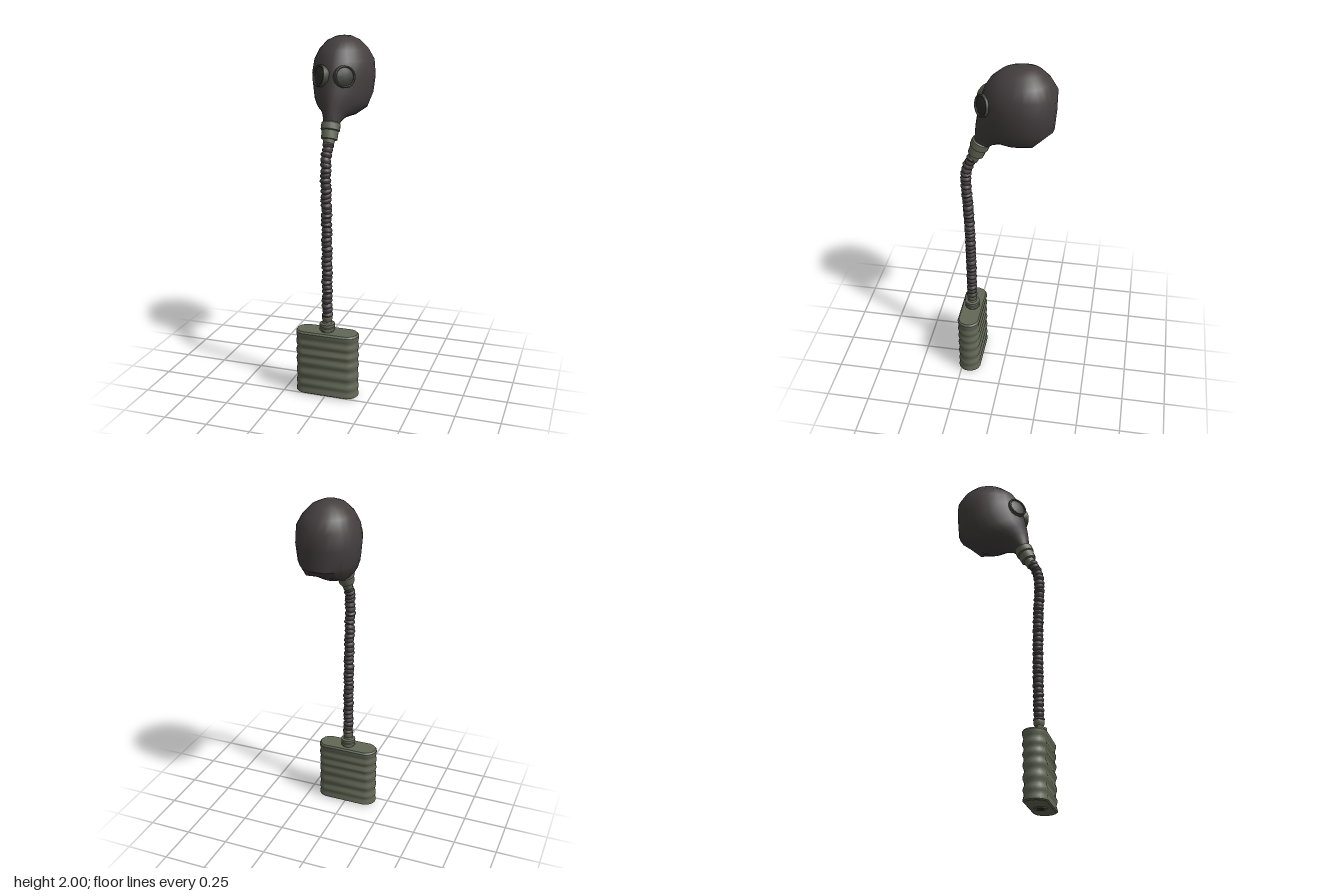
import * as THREE from 'three';
import { toCreasedNormals } from 'three/addons/utils/BufferGeometryUtils.js';

const rubber = new THREE.MeshStandardMaterial({ color: 0x443e3f });
rubber.name = 'darkRubber';
const olive = new THREE.MeshStandardMaterial({ color: 0x636756 });
olive.name = 'oliveMetal';
const rimMetal = new THREE.MeshStandardMaterial({ color: 0x474a3e });
rimMetal.name = 'darkOliveRim';
const glass = new THREE.MeshStandardMaterial({ color: 0x2d2d2c });
glass.name = 'darkGlass';

// Skin a list of rings (lowest first, each turning from +x to +z) and cap both ends
function loft(rings, crease) {
  const n = rings[0].length, pos = [], idx = [];
  rings.forEach(r => r.forEach(p => pos.push(p.x, p.y, p.z)));
  for (let i = 0; i < rings.length - 1; i++) {
    for (let j = 0; j < n; j++) {
      const a = i * n + j, b = i * n + (j + 1) % n;
      idx.push(a, a + n, b, b, a + n, b + n);
    }
  }
  [0, rings.length - 1].forEach(i => {
    const c = new THREE.Vector3();
    rings[i].forEach(p => c.addScaledVector(p, 1 / n));
    const k = pos.length / 3;
    pos.push(c.x, c.y, c.z);
    for (let j = 0; j < n; j++) {
      const a = i * n + j, b = i * n + (j + 1) % n;
      if (i === 0) idx.push(k, a, b); else idx.push(k, b, a);
    }
  });
  const g = new THREE.BufferGeometry();
  g.setAttribute('position', new THREE.Float32BufferAttribute(pos, 3));
  g.setIndex(idx);
  g.computeVertexNormals();
  return toCreasedNormals(g, crease);
}

function lathe(profile, sides) {
  const pts = profile.map(([r, y]) => new THREE.Vector2(r, y));
  return toCreasedNormals(new THREE.LatheGeometry(pts, sides), 0.6);
}

function add(parent, name, geometry, material) {
  const m = new THREE.Mesh(geometry, material);
  m.name = name;
  parent.add(m);
  return m;
}

// Hood sections from snout to crown: front z, y, back z, y, half width, widest point
const hoodSections = [
  [0.165, 1.565, 0.09, 1.525, 0.043, 0.5],
  [0.162, 1.61, 0.06, 1.543, 0.05, 0.5],
  [0.158, 1.65, 0.0, 1.56, 0.07, 0.45],
  [0.152, 1.69, -0.09, 1.56, 0.112, 0.42],
  [0.145, 1.73, -0.2, 1.58, 0.145, 0.42],
  [0.135, 1.77, -0.26, 1.66, 0.163, 0.42],
  [0.125, 1.82, -0.268, 1.77, 0.173, 0.42],
  [0.108, 1.875, -0.27, 1.87, 0.163, 0.42],
  [0.075, 1.93, -0.235, 1.93, 0.132, 0.43],
  [0.02, 1.975, -0.19, 1.975, 0.087, 0.45],
  [-0.04, 1.996, -0.15, 1.996, 0.04, 0.5],
  [-0.09, 2.0, -0.11, 2.0, 0.008, 0.5],
];

function hoodGeometry() {
  const sides = 24;
  // Slanted neck opening, flat
  const nz = -0.537, ny = -0.844, limit = nz * -0.24 + ny * 1.65;
  const rings = hoodSections.map(([fz, fy, bz, by, w, mid]) =>
    Array.from({ length: sides }, (_, j) => {
      const a = j / sides * Math.PI * 2, s = Math.sin(a), c = Math.cos(a);
      const t = mid + (s > 0 ? 1 - mid : mid) * s;
      const x = w * Math.sign(c) * Math.pow(Math.abs(c), s > 0 ? 1.12 : 0.95);
      const p = new THREE.Vector3(x, by + (fy - by) * t, bz + (fz - bz) * t);
      const over = nz * p.z + ny * p.y - limit;
      if (over > 0) { p.y -= ny * over; p.z -= nz * over; }
      return p;
    }));
  return loft(rings, 0.75);
}

// Corrugated hose with a little irregular crumpling
function hoseGeometry() {
  const path = new THREE.CatmullRomCurve3([
    [0.47, 0.203], [0.7, 0.203], [0.95, 0.206], [1.15, 0.213],
    [1.27, 0.22], [1.36, 0.215], [1.41, 0.198], [1.455, 0.174],
  ].map(([y, z]) => new THREE.Vector3(0, y, z)));
  const folds = 36, steps = folds * 4, sides = 12, rings = [];
  const X = new THREE.Vector3(1, 0, 0);
  for (let i = 0; i <= steps; i++) {
    const c = path.getPointAt(i / steps), T = path.getTangentAt(i / steps);
    const N = new THREE.Vector3().crossVectors(X, T);
    c.x += 0.002 * Math.sin(i * 0.37);
    const r = [0.024, 0.029, 0.031, 0.029][i % 4] + 0.0015 * Math.sin(i * 0.9);
    const tilt = 0.004 * Math.sin(i * 0.23);
    rings.push(Array.from({ length: sides }, (_, j) => {
      const a = j / sides * Math.PI * 2;
      return c.clone().addScaledVector(X, r * Math.cos(a))
        .addScaledVector(N, r * Math.sin(a))
        .addScaledVector(T, tilt * Math.cos(a + i * 0.1));
    }));
  }
  return loft(rings, 0.7);
}

// Flat tin with rounded ends and soft horizontal ridges
function canisterGeometry() {
  const rings = [], rows = 36, y0 = 0.006, y1 = 0.375;
  const ring = (y, inset, wave) => {
    const pts = [], r = 0.067 - inset;
    for (let j = 0; j < 16; j++) {
      const a = (j + 0.5) / 16 * Math.PI * 2;
      const c = Math.cos(a), s = Math.sin(a);
      pts.push(new THREE.Vector3(
        Math.sign(c) * 0.117 + (r - wave * 0.6) * c, y, 0.203 + (r - wave) * s));
    }
    return pts;
  };
  rings.push(ring(y0, 0.008, 0));
  for (let i = 0; i <= rows; i++) {
    const t = i / rows, edge = Math.min(1, 8 * Math.min(t, 1 - t));
    const wave = 0.0045 * edge * (1 - Math.cos(t * Math.PI * 12 + 0.5 * Math.sin(t * 9)));
    rings.push(ring(y0 + 0.006 + (y1 - y0 - 0.006) * t, 0, wave));
  }
  rings.push(ring(0.385, 0.008, 0));
  return loft(rings, 0.6);
}

function createEyepiece(side) {
  const eye = new THREE.Group();
  eye.name = side > 0 ? 'leftEyepiece' : 'rightEyepiece';
  add(eye, 'eyeRim', lathe([
    [0.057, -0.025], [0.06, 0], [0.059, 0.008], [0.054, 0.01], [0.049, 0.006], [0.048, 0.0],
  ], 18), rimMetal);
  add(eye, 'eyeLens', lathe([[0.05, 0.002], [0.03, 0.006], [0, 0.008]], 18), glass);
  const normal = new THREE.Vector3(side * 0.66, 0.18, 0.75).normalize();
  eye.quaternion.setFromUnitVectors(new THREE.Vector3(0, 1, 0), normal);
  eye.position.set(side * 0.071, 1.8, 0.111);
  return eye;
}

export function createModel() {
  const model = new THREE.Group();
  model.name = 'maskWithHoseAndCanister';

  add(model, 'hood', hoodGeometry(), rubber);
  [1, -1].forEach(s => model.add(createEyepiece(s)));

  // Tilted coupling under the snout
  const coupling = add(model, 'snoutCoupling', lathe([
    [0, -0.125], [0.027, -0.125], [0.031, -0.09], [0.031, -0.082], [0.044, -0.08],
    [0.046, -0.035], [0.052, -0.03], [0.052, 0.006], [0.045, 0.012], [0, 0.012],
  ], 16), olive);
  coupling.position.set(0, 1.545, 0.131);
  coupling.rotation.x = -0.39;

  add(model, 'hose', hoseGeometry(), rubber);

  // Coupling on top of the canister
  const neck = add(model, 'canisterNeck', lathe([
    [0.036, 0.38], [0.036, 0.392], [0.043, 0.394], [0.043, 0.41], [0.038, 0.413],
    [0.043, 0.416], [0.043, 0.432], [0.028, 0.436], [0.024, 0.445],
    [0.03, 0.46], [0.03, 0.475], [0.024, 0.495], [0, 0.495],
  ], 16), olive);
  neck.position.z = 0.203;

  add(model, 'canister', canisterGeometry(), olive);

  // Inlet under the canister
  const inlet = add(model, 'inletRing', lathe([
    [0.018, 0.004], [0.02, 0], [0.036, 0], [0.038, 0.008],
  ], 16), olive);
  inlet.position.z = 0.203;
  const hole = add(model, 'inletHole', new THREE.CircleGeometry(0.02, 16), glass);
  hole.rotation.x = Math.PI / 2;
  hole.position.set(0, 0.003, 0.203);

  return model;
}
